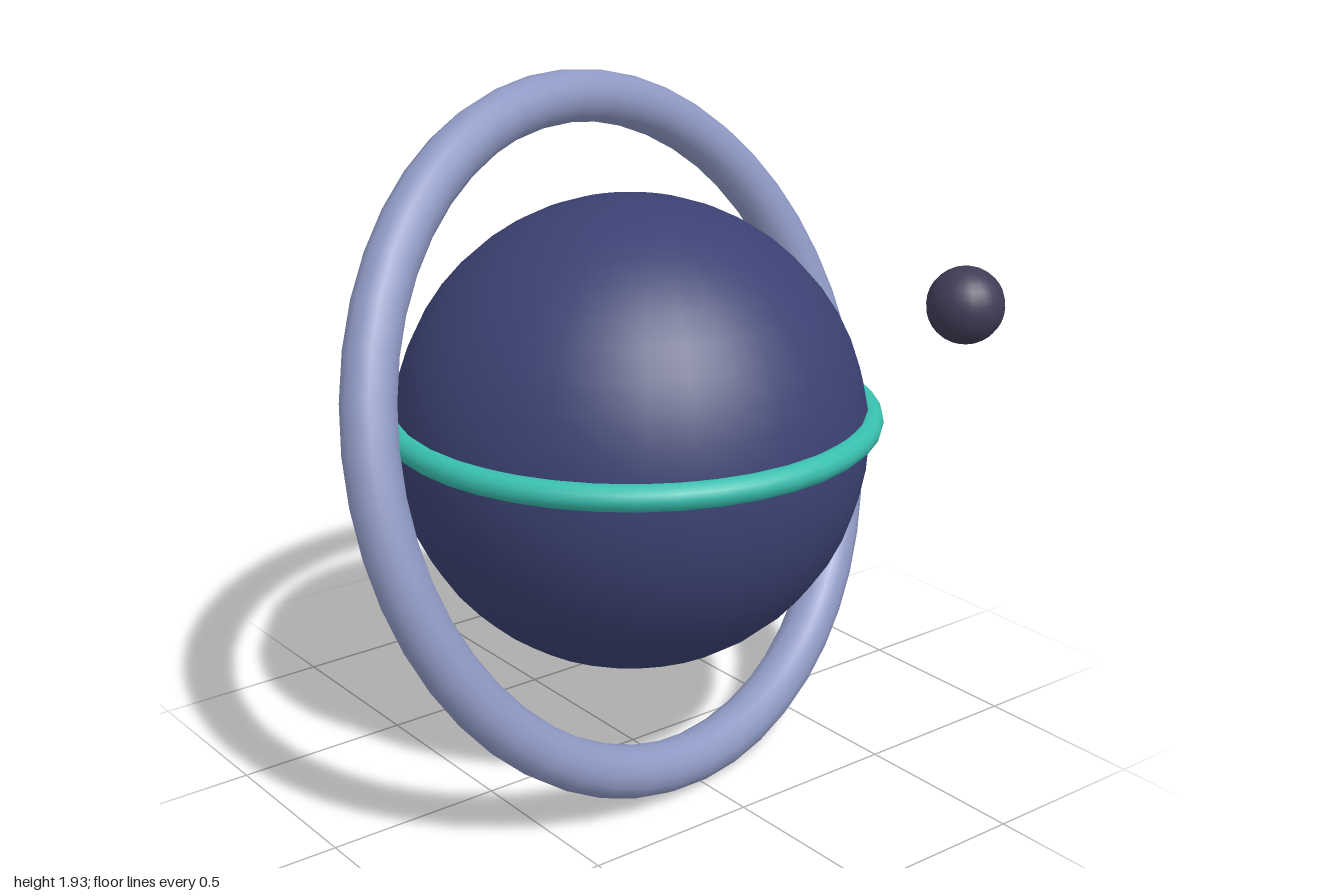
import * as THREE from 'three';

export function createModel() {
  const group = new THREE.Group();
  group.name = 'ringedPlanet';

  const material = (name, color) => {
    const m = new THREE.MeshStandardMaterial({ color });
    m.name = name;
    return m;
  };
  const navy = material('navy', 0x3b4273);
  const lavender = material('lavender', 0x8f99c4);
  const teal = material('teal', 0x38bfae);
  const charcoal = material('charcoal', 0x3f3d56);

  const add = (name, geometry, mat, x, y, z) => {
    const mesh = new THREE.Mesh(geometry, mat);
    mesh.name = name;
    mesh.position.set(x, y, z);
    group.add(mesh);
    return mesh;
  };

  // Planet body
  add('planet', new THREE.SphereGeometry(0.66, 32, 24), navy, -0.008, 0.971, 0);

  // Thin band lying flat, just above the middle of the planet
  const band = add('equatorBand', new THREE.TorusGeometry(0.662, 0.036, 12, 40), teal, -0.008, 1.026, 0);
  band.rotation.x = Math.PI / 2;

  // Large tilted orbit ring
  const ring = add('orbitRing', new THREE.TorusGeometry(0.938, 0.073, 14, 48), lavender, -0.008, 0.971, 0);
  ring.rotation.set(-0.314, 0.2, 0);

  // Small moon in front of the ring
  add('moon', new THREE.SphereGeometry(0.112, 20, 16), charcoal, 0.886, 1.267, 0.398);

  return group;
}
